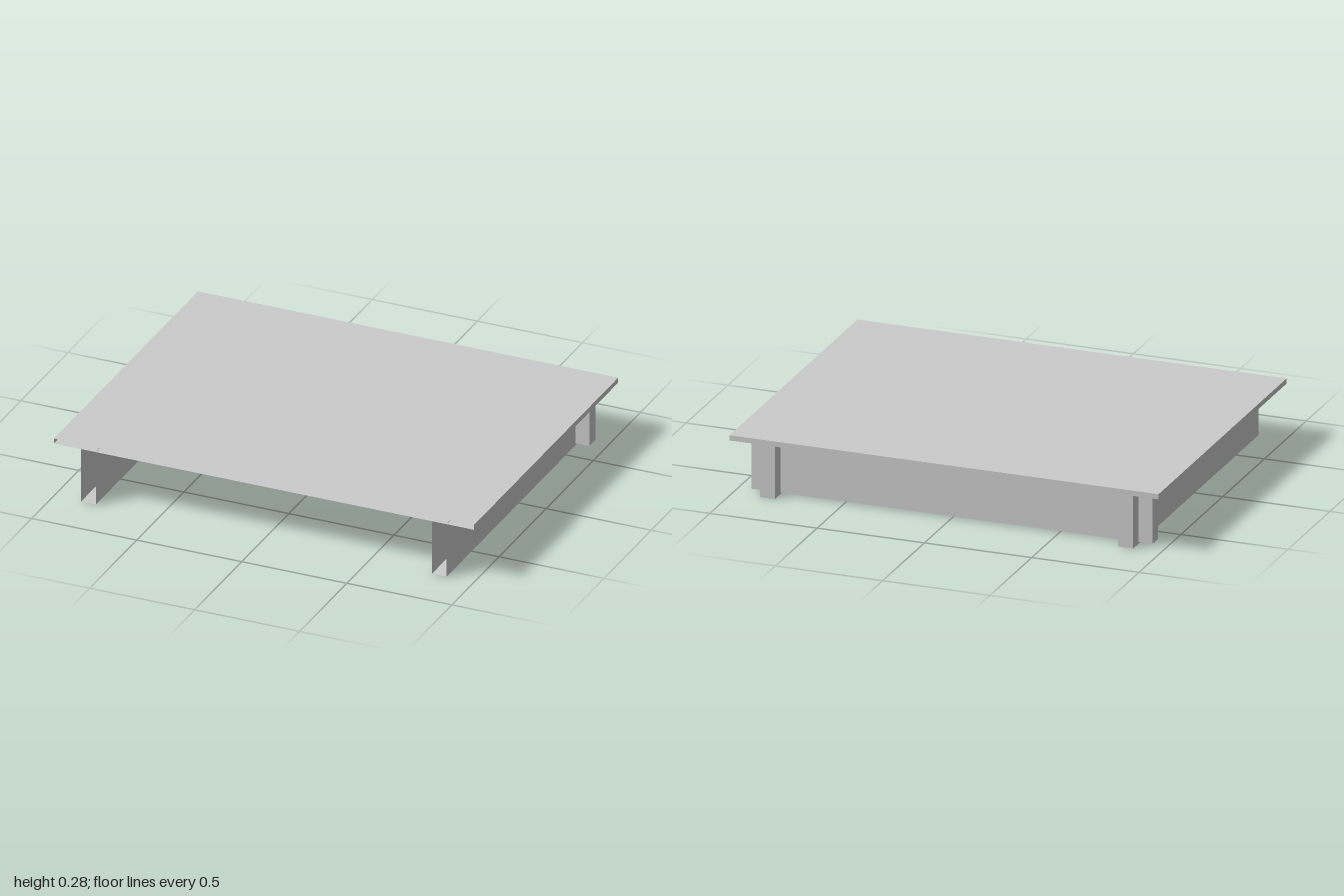
import * as THREE from 'three';

const material = new THREE.MeshStandardMaterial({ color: 0xcccccc, side: THREE.DoubleSide });

// Board spanning two corners; openFront leaves out its +z end face
function board(name, min, max, openFront = false) {
  const size = max.map((v, i) => v - min[i]);
  const geometry = new THREE.BoxGeometry(...size);
  if (openFront) {
    const index = Array.from(geometry.index.array);
    index.splice(24, 6);
    geometry.setIndex(index);
    geometry.clearGroups();
  }
  const mesh = new THREE.Mesh(geometry, material);
  mesh.name = name;
  mesh.position.set(...min.map((v, i) => v + size[i] / 2));
  return mesh;
}

export function createModel() {
  const model = new THREE.Group();
  model.name = 'lowTable';

  // Thin top, hollow at the front edge
  model.add(board('tableTop', [-1, 0.256, -0.765], [1, 0.28, 0.765], true));

  // Side panels running front to back, hollow at the front end
  model.add(board('rightSidePanel', [-0.87, 0, -0.735], [-0.8, 0.258, 0.765], true));
  model.add(board('leftSidePanel', [0.8, 0, -0.735], [0.87, 0.258, 0.765], true));

  // Back panel crossing through both side panels
  model.add(board('backPanel', [-0.935, 0.008, -0.67], [0.935, 0.254, -0.603]));

  return model;
}
